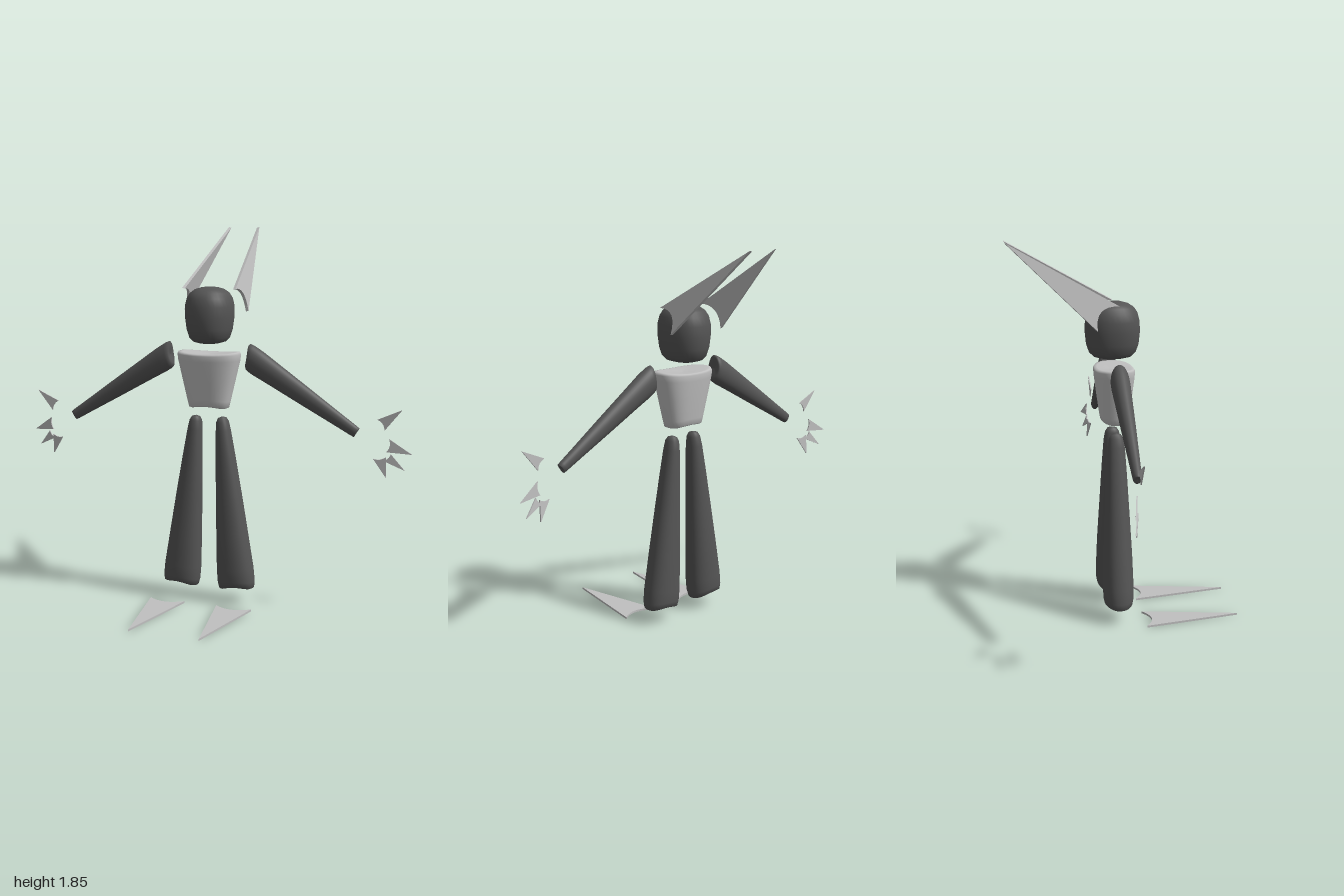
import * as THREE from 'three';

const darkGrey = new THREE.MeshStandardMaterial({ color: 0x555555 });
darkGrey.name = 'dark grey';
const silver = new THREE.MeshStandardMaterial({ color: 0xc0c0c0 });
silver.name = 'silver';

// Smooth limb from P to Q (xy points) at depth z.
// Stations: [distance along axis, half width, half depth, bend of the ring, tilt of the ring]
function loft(name, material, P, Q, z, stations, { power = 2, side = 1 } = {}) {
  const N = 32;
  const p = new THREE.Vector2(P[0] * side, P[1]);
  const d = new THREE.Vector2(Q[0] * side, Q[1]).sub(p).normalize();
  const pos = [], idx = [];
  const round = v => Math.sign(v) * Math.abs(v) ** (2 / power);
  stations.forEach(([s, a, b, bend = 0, tilt = 0], i) => {
    for (let j = 0; j < N; j++) {
      const t = (j / N) * Math.PI * 2;
      const c = round(Math.cos(t)), k = round(Math.sin(t));
      const along = s + bend * c * c + tilt * c * side;
      pos.push(p.x + d.x * along - d.y * a * c, p.y + d.y * along + d.x * a * c, z + b * k);
      if (i === stations.length - 1) continue;
      const m = i * N + j, n = i * N + (j + 1) % N;
      idx.push(m, n, m + N, n, n + N, m + N);
    }
  });
  const g = new THREE.BufferGeometry();
  g.setAttribute('position', new THREE.Float32BufferAttribute(pos, 3));
  g.setIndex(idx);
  g.computeVertexNormals();
  const mesh = new THREE.Mesh(g, material);
  mesh.name = name;
  return mesh;
}

// Thin pointed plate with a concave base between corners A and B
function spike(name, tip, A, B, thickness, side) {
  const [T, a, b] = [tip, A, B].map(([x, y, z]) => new THREE.Vector3(x * side, y, z));
  const mid = a.clone().add(b).multiplyScalar(0.5);
  const ux = b.clone().sub(a);
  const half = ux.length() / 2;
  ux.normalize();
  const toTip = T.clone().sub(mid);
  const tx = toTip.dot(ux);
  const uy = toTip.addScaledVector(ux, -tx);
  const length = uy.length();
  uy.normalize();
  const shape = new THREE.Shape();
  shape.moveTo(half, 0);
  shape.lineTo(tx, length);
  shape.lineTo(-half, 0);
  shape.quadraticCurveTo(0, length * 0.16, half, 0);
  const g = new THREE.ExtrudeGeometry(shape, { depth: thickness, bevelEnabled: false, curveSegments: 8 });
  g.translate(0, 0, -thickness / 2);
  const basis = new THREE.Matrix4().makeBasis(ux, uy, ux.clone().cross(uy)).setPosition(mid);
  g.applyMatrix4(basis);
  const mesh = new THREE.Mesh(g, silver);
  mesh.name = name;
  return mesh;
}

export function createModel() {
  const model = new THREE.Group();
  model.name = 'floatingFigure';

  // Head
  model.add(loft('head', darkGrey, [0, 1.295], [0, 1.57], -0.048, [
    [0, 0, 0], [0.001, 0.05, 0.06], [0.01, 0.08, 0.092], [0.03, 0.097, 0.113],
    [0.07, 0.109, 0.127], [0.13, 0.117, 0.133], [0.18, 0.118, 0.131], [0.22, 0.109, 0.121],
    [0.245, 0.094, 0.104], [0.262, 0.071, 0.078], [0.272, 0.04, 0.043], [0.275, 0, 0]
  ], { power: 2.15 }));

  // Torso, wide at the shoulders, with dished ends
  model.add(loft('torso', silver, [0, 0.99], [0, 1.25], -0.04, [
    [0, 0, 0], [0, 0.05, 0.035, -0.004], [-0.003, 0.085, 0.056, -0.012], [0.004, 0.1, 0.066, -0.014],
    [0.03, 0.108, 0.071, -0.008], [0.13, 0.133, 0.085], [0.22, 0.155, 0.096, 0.004],
    [0.248, 0.159, 0.098, 0.006], [0.256, 0.153, 0.093, 0.009], [0.257, 0.135, 0.08, 0.008],
    [0.254, 0.07, 0.04, 0.003], [0.252, 0, 0]
  ], { power: 2.5 }));

  for (const side of [1, -1]) {
    const label = side > 0 ? 'left' : 'right';

    // Arm
    model.add(loft(label + 'Arm', darkGrey, [0.203, 1.235], [0.743, 0.897], -0.043, [
      [0.005, 0, 0], [0.003, 0.025, 0.018, -0.004, -0.01], [0, 0.047, 0.034, -0.008, -0.02],
      [0.005, 0.058, 0.041, -0.008, -0.024], [0.02, 0.062, 0.044, -0.004, -0.02],
      [0.06, 0.062, 0.045, 0, -0.008], [0.15, 0.056, 0.041], [0.35, 0.044, 0.033],
      [0.55, 0.031, 0.024], [0.62, 0.027, 0.021], [0.635, 0.025, 0.019, 0.003],
      [0.636, 0.018, 0.013, 0.002], [0.634, 0, 0]
    ], { side }));

    // Leg, flaring down to a notched hem
    model.add(loft(label + 'Leg', darkGrey, [0.147, 0.09], [0.068, 0.937], -0.04, [
      [0.004, 0, 0], [0, 0.04, 0.03, -0.006], [-0.005, 0.074, 0.056, -0.018],
      [0.002, 0.088, 0.068, -0.02], [0.025, 0.094, 0.073, -0.012], [0.08, 0.093, 0.075],
      [0.25, 0.08, 0.07], [0.45, 0.065, 0.06], [0.65, 0.048, 0.05], [0.78, 0.036, 0.042],
      [0.825, 0.03, 0.035], [0.843, 0.02, 0.024], [0.85, 0, 0]
    ], { side, power: 2.2 }));

    // Foot and ear plates
    model.add(spike(label + 'Foot', [0.176, 0.005, 0.557], [0.085, 0.005, 0.085], [0.267, 0.005, 0.085], 0.01, side));
    model.add(spike(label + 'Ear', [0.077, 1.853, -0.555], [0.132, 1.56, -0.032], [0.162, 1.448, -0.138], 0.014, side));

    // Hand: thumb and three fingers
    const hand = new THREE.Group();
    hand.name = label + 'Hand';
    hand.add(spike('thumb', [0.957, 1.016, -0.05], [0.84, 0.964, -0.05], [0.875, 0.914, -0.05], 0.006, side));
    [
      [[1, 0.8, -0.09], [0.893, 0.872, -0.07], [0.882, 0.808, -0.07]],
      [[0.968, 0.722, -0.085], [0.904, 0.8, -0.068], [0.866, 0.768, -0.062]],
      [[0.882, 0.684, -0.07], [0.882, 0.785, -0.065], [0.822, 0.775, -0.055]]
    ].forEach(([t, a, b], i) => hand.add(spike('finger' + (i + 1), t, a, b, 0.006, side)));
    model.add(hand);
  }
  return model;
}
